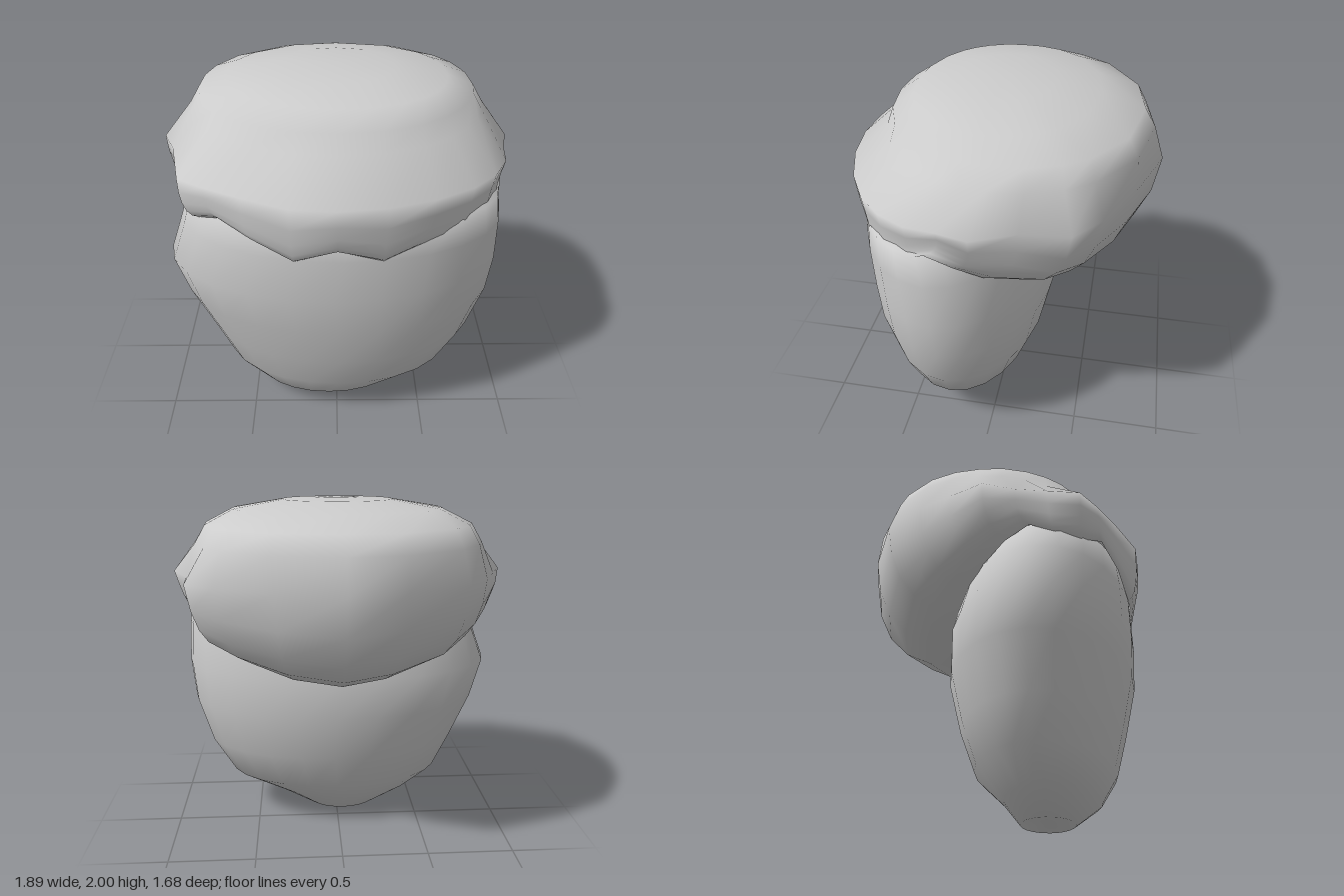
import * as THREE from 'three';
import { mergeVertices } from 'three/addons/utils/BufferGeometryUtils.js';

const COLS = 24;
const STEP = (Math.PI * 2) / COLS;

// Skin rows of closed rings (listed from top to bottom) with smooth normals.
function loft(rows) {
  const pos = [], idx = [];
  rows.forEach(row => row.forEach(p => pos.push(...p)));
  for (let i = 0; i < rows.length - 1; i++) {
    for (let j = 0; j < COLS; j++) {
      const k = (j + 1) % COLS;
      const a = i * COLS + j, b = i * COLS + k, c = a + COLS, d = b + COLS;
      idx.push(a, c, b, b, c, d);
    }
  }
  let g = new THREE.BufferGeometry();
  g.setAttribute('position', new THREE.Float32BufferAttribute(pos, 3));
  g.setIndex(idx);
  g = mergeVertices(g, 1e-4);
  g.computeVertexNormals();
  return g;
}

const ring = fn => Array.from({ length: COLS }, (_, j) => fn(j, j * STEP));
const signedPow = (v, p) => Math.sign(v) * Math.abs(v) ** p;

// Rounded lower body: y, left x, right x, back z, front z
const BODY = [
  [1.70, 0, 0, 0.25, 0.25],
  [1.62, -0.5, 0.5, 0, 0.5],
  [1.42, -0.80, 0.87, -0.15, 0.75],
  [1.25, -0.85, 0.90, -0.24, 0.77],
  [1.00, -0.94, 0.91, -0.29, 0.77],
  [0.77, -0.87, 0.885, -0.30, 0.755],
  [0.50, -0.75, 0.80, -0.24, 0.69],
  [0.28, -0.65, 0.67, -0.16, 0.63],
  [0.12, -0.48, 0.39, 0.00, 0.54],
  [0.005, -0.25, 0.17, 0.09, 0.39],
  [0.015, -0.04, -0.04, 0.24, 0.24],
];

function bodyGeometry() {
  return loft(BODY.map(([y, xl, xr, zb, zf]) => ring((j, t) => [
    (xl + xr) / 2 + (xr - xl) / 2 * Math.sin(t),
    y,
    (zb + zf) / 2 + (zf - zb) / 2 * Math.cos(t),
  ])));
}

// Widest outline of the cap and height of its rim, from the front round by +x
const CAP = [
  [0, 0.84, 1.32], [0.24, 0.81, 1.25], [0.48, 0.73, 1.33], [0.67, 0.62, 1.35],
  [0.80, 0.49, 1.36], [0.88, 0.34, 1.38], [0.90, 0.18, 1.44], [0.94, 0.02, 1.36],
  [0.84, -0.20, 1.25], [0.82, -0.44, 1.18], [0.66, -0.57, 1.11], [0.35, -0.72, 1.03],
  [0, -0.84, 1.00], [-0.30, -0.75, 1.03], [-0.65, -0.57, 1.11], [-0.79, -0.35, 1.18],
  [-0.87, -0.17, 1.25], [-0.95, 0.02, 1.33], [-0.88, 0.18, 1.40], [-0.84, 0.35, 1.36],
  [-0.80, 0.52, 1.36], [-0.66, 0.61, 1.42], [-0.47, 0.71, 1.34], [-0.23, 0.82, 1.25],
];

// Crown rings: y, x radius, centre z, z radius, squareness power
const CROWN = [
  [2.00, 0, 0.01, 0, 1],
  [1.992, 0.31, 0.01, 0.27, 0.93],
  [1.945, 0.59, 0.00, 0.49, 0.93],
  [1.87, 0.74, -0.06, 0.66, 0.95],
  [1.77, 0.80, -0.07, 0.71, 1],
];

function capGeometry() {
  const rows = CROWN.map(([y, rx, cz, rz, pow]) => ring(j => {
    const a = Math.atan2(CAP[j][0], CAP[j][1] + 0.03);
    return [
      rx * signedPow(Math.sin(a), pow),
      y,
      cz + rz * signedPow(Math.cos(a), pow),
    ];
  }));
  // Curl from the widest outline under to the rim on the body
  for (const u of [0, 0.2, 0.4, 0.6, 0.8, 1]) {
    const p = (1 - u) ** 2, c = 2 * u * (1 - u), r = u * u;
    rows.push(ring((j, t) => {
      const [x, z, y] = CAP[j];
      const s = Math.sin(t), k = Math.cos(t);
      const bulge = p + (0.97 + 0.02 * k - 0.03 * s) * c;
      const rimX = s * (s < 0 ? 0.82 : 0.885);
      const rimZ = 0.25 + 0.52 * k;
      return [
        x * bulge + rimX * r,
        1.59 * p + (y + 0.01) * c + y * r,
        z * bulge + rimZ * r,
      ];
    }));
  }
  return loft(rows);
}

export function createModel() {
  const group = new THREE.Group();
  const grey = new THREE.MeshStandardMaterial({ color: 0xcccccc });
  grey.name = 'lightGrey';
  grey.side = THREE.DoubleSide;

  const body = new THREE.Mesh(bodyGeometry(), grey);
  body.name = 'body';
  const cap = new THREE.Mesh(capGeometry(), grey);
  cap.name = 'cap';
  group.add(body, cap);
  return group;
}
